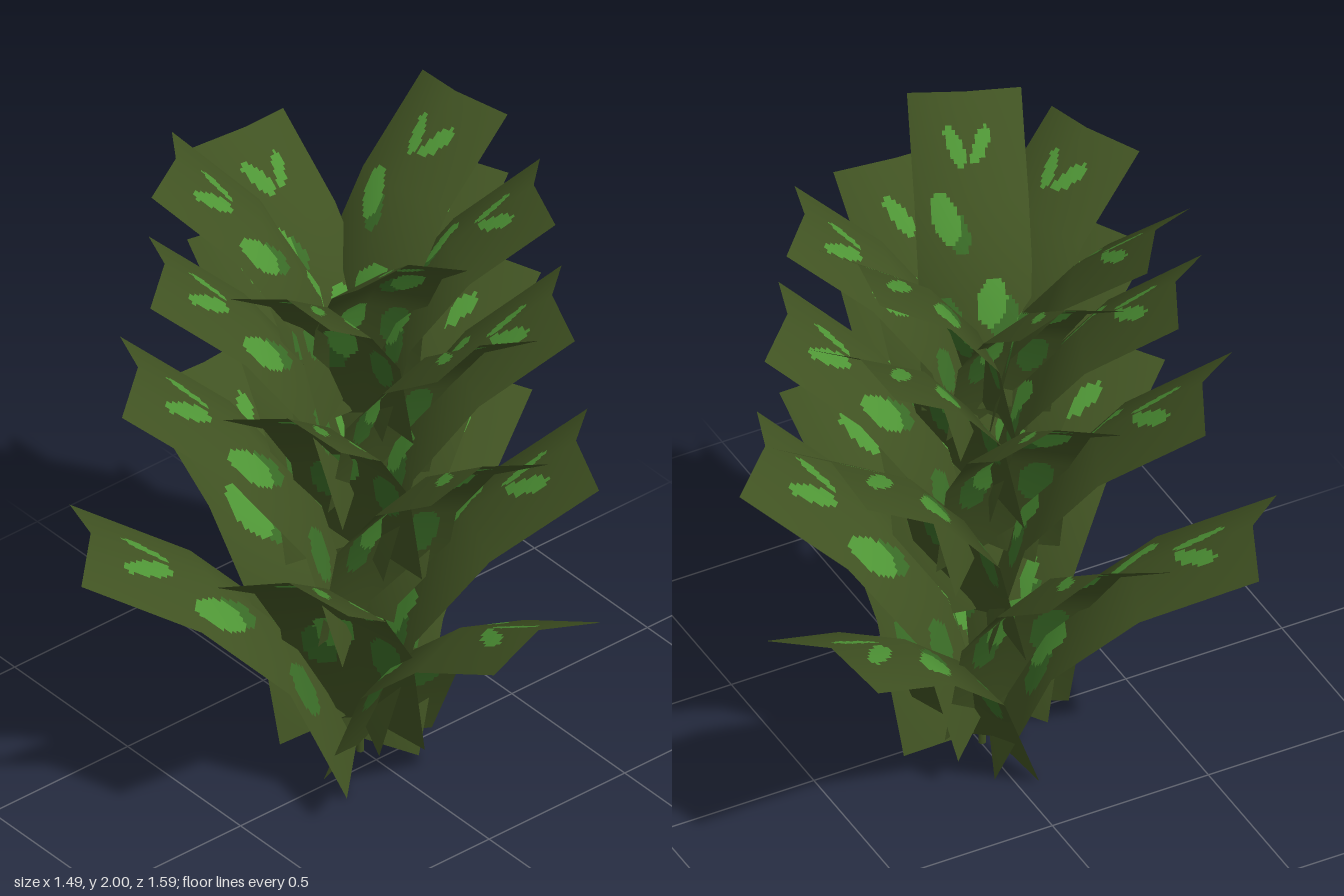
import * as THREE from 'three';

const mat = (name, color) => {
  const m = new THREE.MeshStandardMaterial({ color, side: THREE.DoubleSide });
  m.name = name;
  return m;
};

// Whorls of three leaves: centre x and z, base and tip height, base and tip radius, width, azimuths in degrees
const WHORLS = [
  { x: -0.07, z: 0.01, y0: 0.00, y1: 0.785, r0: 0.05, r1: 0.805, w: 0.40, az: [0, 125, 245] },
  { x: -0.07, z: 0.02, y0: 0.10, y1: 0.99, r0: 0.055, r1: 0.68, w: 0.398, az: [60, 180, 305] },
  { x: -0.07, z: 0.005, y0: 0.45, y1: 1.33, r0: 0.05, r1: 0.675, w: 0.394, az: [9, 129, 254] },
  { x: -0.07, z: 0, y0: 0.69, y1: 1.49, r0: 0.05, r1: 0.595, w: 0.37, az: [65, 189, 304] },
  { x: -0.075, z: 0, y0: 0.91, y1: 1.69, r0: 0.05, r1: 0.595, w: 0.35, az: [5, 129, 250] },
  { x: -0.07, z: 0, y0: 1.16, y1: 1.87, r0: 0.045, r1: 0.54, w: 0.325, az: [68, 183, 302] },
  { x: -0.12, z: 0.005, y0: 1.21, y1: 1.97, r0: 0.04, r1: 0.53, w: 0.325, az: [23, 140, 262] },
];

// Arching side profile from base to tip, as (radius, height)
const ARCH = [[0, 0], [0.14, 0.36], [0.37, 0.59], [0.69, 0.775]];

// Spots: across (-0.5..0.5), along (0..1), half width, half length, tilt, material index
const SPOTS = [
  [-0.10, 0.835, 0.065, 0.062, 0.45, 1], [0.12, 0.835, 0.068, 0.068, -0.35, 1],
  [0.24, 0.61, 0.12, 0.088, -0.25, 1], [0.15, 0.565, 0.11, 0.075, -0.25, 2],
  [-0.13, 0.33, 0.13, 0.08, 0.2, 1], [-0.24, 0.27, 0.12, 0.075, 0.2, 2],
  [0.26, 0.27, 0.13, 0.08, -0.2, 2],
];

const spotAt = (u, t) => {
  for (const [su, st, a, b, tilt, m] of SPOTS) {
    const du = u - su, dt = (t - st) * 2.7;
    const c = Math.cos(tilt), s = Math.sin(tilt);
    const p = (du * c + dt * s) / a, q = (dt * c - du * s) / (b * 2.7);
    if (p * p + q * q < 1) return m;
  }
  return 0;
};

// A creased, arched strip; a fine grid over it sorts its cells into leaf and spot colours
function leafGeometry({ y0, y1, r0, r1, w }) {
  const chord = new THREE.Vector2(r1 - r0, y1 - y0);
  const ref = new THREE.Vector2(...ARCH[3]);
  const turn = chord.angle() - ref.angle(), scale = chord.length() / ref.length();
  const crease = new THREE.Vector2(-chord.y, chord.x).setLength(0.15 * w);

  const coarse = new THREE.PlaneGeometry(w, 1, 2, 3);
  const cp = coarse.attributes.position;
  for (let i = 0; i < cp.count; i++) {
    const row = 3 - Math.floor(i / 3), mid = i % 3 === 1;
    const p = new THREE.Vector2(...ARCH[row]).rotateAround(new THREE.Vector2(), turn).multiplyScalar(scale);
    if (mid) p.add(crease);
    cp.setXYZ(i, cp.getX(i), y0 + p.y, r0 + p.x);
  }
  coarse.computeVertexNormals();
  const cn = coarse.attributes.normal;

  const NX = 36, NY = 69;
  const geo = new THREE.PlaneGeometry(1, 1, NX, NY);
  const pos = geo.attributes.position, nor = geo.attributes.normal;
  const v = new THREE.Vector3(), sum = new THREE.Vector3();
  const sample = (attr, u, t) => {
    const fx = (u + 0.5) * 2, fy = (0.5 - t) * 3;
    const ix = Math.min(1, Math.floor(fx + 1e-6)), iy = Math.min(2, Math.floor(fy + 1e-6));
    const a = fx - ix, b = fy - iy;
    sum.set(0, 0, 0);
    for (const [dx, dy, k] of [[0, 0, (1 - a) * (1 - b)], [1, 0, a * (1 - b)], [0, 1, (1 - a) * b], [1, 1, a * b]])
      sum.addScaledVector(v.fromBufferAttribute(attr, (iy + dy) * 3 + ix + dx), k);
    return sum;
  };
  for (let i = 0; i < pos.count; i++) {
    const u = pos.getX(i), t = pos.getY(i);
    const p = sample(cp, u, t);
    pos.setXYZ(i, p.x, p.y, p.z);
    const n = sample(cn, u, t).normalize();
    nor.setXYZ(i, n.x, n.y, n.z);
  }

  const src = geo.index.array, lists = [[], [], []];
  for (let c = 0; c < NX * NY; c++) {
    const u = ((c % NX) + 0.5) / NX - 0.5, t = 1 - (Math.floor(c / NX) + 0.5) / NY;
    lists[spotAt(u, t)].push(...src.slice(c * 6, c * 6 + 6));
  }
  geo.setIndex(lists.flat());
  geo.clearGroups();
  let start = 0;
  lists.forEach((l, m) => { geo.addGroup(start, l.length, m); start += l.length; });
  return geo;
}

export function createModel() {
  const model = new THREE.Group();
  model.name = 'leafyPlant';
  const mats = [mat('leafGreen', 0x405222), mat('brightSpot', 0x4f9636), mat('deepSpot', 0x3a6c27)];

  // Thin stem hidden between the leaf bases
  const stem = new THREE.Mesh(new THREE.CylinderGeometry(0.012, 0.012, 0.3, 6), mats[0]);
  stem.name = 'stem';
  stem.position.set(-0.065, 0.15, 0.005);
  model.add(stem);

  // Whorls of leaves, each leaf set slightly to one side of the stem
  WHORLS.forEach((whorl, i) => {
    const group = new THREE.Group();
    group.name = `leafWhorl${i + 1}`;
    group.position.set(whorl.x, 0, whorl.z);
    const geo = leafGeometry(whorl).translate(0.032, 0, 0);
    for (const az of whorl.az) {
      const leaf = new THREE.Mesh(geo, mats);
      leaf.name = 'leaf';
      leaf.rotation.y = Math.PI / 2 - THREE.MathUtils.degToRad(az);
      group.add(leaf);
    }
    model.add(group);
  });
  return model;
}
